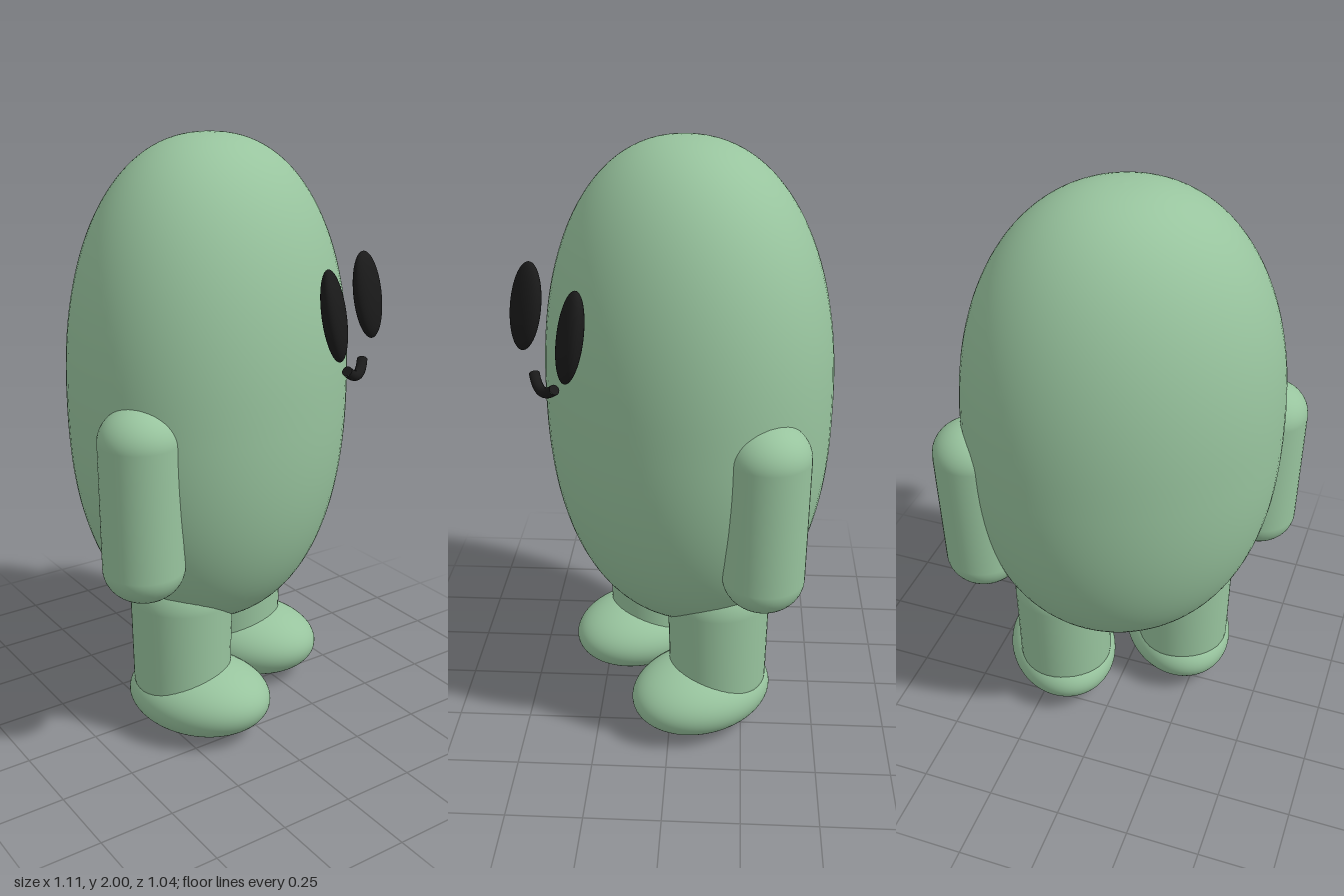
import * as THREE from 'three';

const green = new THREE.MeshStandardMaterial({ color: 0x98c49e });
green.name = 'softGreen';
const black = new THREE.MeshStandardMaterial({ color: 0x1a1a1a });
black.name = 'softBlack';

function add(parent, name, geometry, material, x, y, z) {
  const mesh = new THREE.Mesh(geometry, material);
  mesh.name = name;
  mesh.position.set(x, y, z);
  parent.add(mesh);
  return mesh;
}

const ellipsoid = (rx, ry, rz) => new THREE.SphereGeometry(1, 64, 48).scale(rx, ry, rz);

// egg with sides fuller than an ellipse, of unit radius and unit half height
function fullEgg(topPower, bottomPower) {
  const points = [];
  for (let i = 0; i <= 64; i++) {
    const a = -Math.PI / 2 + (i / 64) * Math.PI;
    const e = 2 / (a > 0 ? topPower : bottomPower);
    const r = i % 64 === 0 ? 0 : Math.cos(a) ** e;
    points.push(new THREE.Vector2(r, Math.sign(a) * Math.abs(Math.sin(a)) ** e));
  }
  return new THREE.LatheGeometry(points, 72);
}

// upright limb from y0 to y1, with rounded ends of given heights
function limb(r0, r1, y0, y1, cap0, cap1) {
  const points = [];
  for (let i = 0; i <= 12; i++) {
    const a = (i / 12) * Math.PI / 2;
    points.push(new THREE.Vector2(r0 * Math.sin(a), y0 + cap0 * (1 - Math.cos(a))));
  }
  for (let i = 0; i <= 12; i++) {
    const a = (1 - i / 12) * Math.PI / 2;
    points.push(new THREE.Vector2(r1 * Math.sin(a), y1 - cap1 * (1 - Math.cos(a))));
  }
  return new THREE.LatheGeometry(points, 40);
}

export function createModel() {
  const model = new THREE.Group();
  model.name = 'eggCreature';

  // the whole figure stands turned towards its left
  const figure = new THREE.Group();
  figure.name = 'figure';
  figure.rotation.y = THREE.MathUtils.degToRad(32);
  figure.position.z = -0.045;
  model.add(figure);

  add(figure, 'body', fullEgg(2.25, 2.38).scale(0.531, 0.82, 0.454), green, 0, 1.18, 0);

  for (const s of [1, -1]) {
    const side = s > 0 ? 'left' : 'right';

    // arm hangs at the side, its lower end slightly inwards
    const arm = add(figure, side + 'Arm', limb(0.131, 0.131, -0.32, 0.32, 0.11, 0.11), green, s * 0.496, 0.92, 0);
    arm.rotation.z = -s * 0.02;

    // leg and foot
    add(figure, side + 'Leg', limb(0.167, 0.173, 0.09, 0.65, 0.1, 0.16), green, s * 0.225, 0, 0);
    add(figure, side + 'Foot', ellipsoid(0.194, 0.13, 0.253), green, s * 0.225, 0.131, 0.065);

    // eye floats before the face, leaning back and turned inwards
    const eye = add(figure, side + 'Eye', ellipsoid(0.07, 0.142, 0.036), black, s * 0.168, 1.49, 0.49);
    eye.rotation.order = 'YXZ';
    eye.rotation.set(-0.17, -s * 0.17, 0);
  }

  // mouth: a short curved tube with flat ends
  const smile = new THREE.QuadraticBezierCurve3(
    new THREE.Vector3(-0.078, 1.298, 0.508),
    new THREE.Vector3(0, 1.238, 0.528),
    new THREE.Vector3(0.078, 1.298, 0.508)
  );
  add(figure, 'mouth', new THREE.TubeGeometry(smile, 24, 0.017, 16), black, 0, 0, 0);
  for (const t of [0, 1]) {
    const p = smile.getPoint(t);
    const end = add(figure, 'mouthEnd', new THREE.CircleGeometry(0.017, 16), black, p.x, p.y, p.z);
    const outward = smile.getTangent(t).multiplyScalar(t ? 1 : -1);
    end.quaternion.setFromUnitVectors(new THREE.Vector3(0, 0, 1), outward);
  }

  return model;
}
